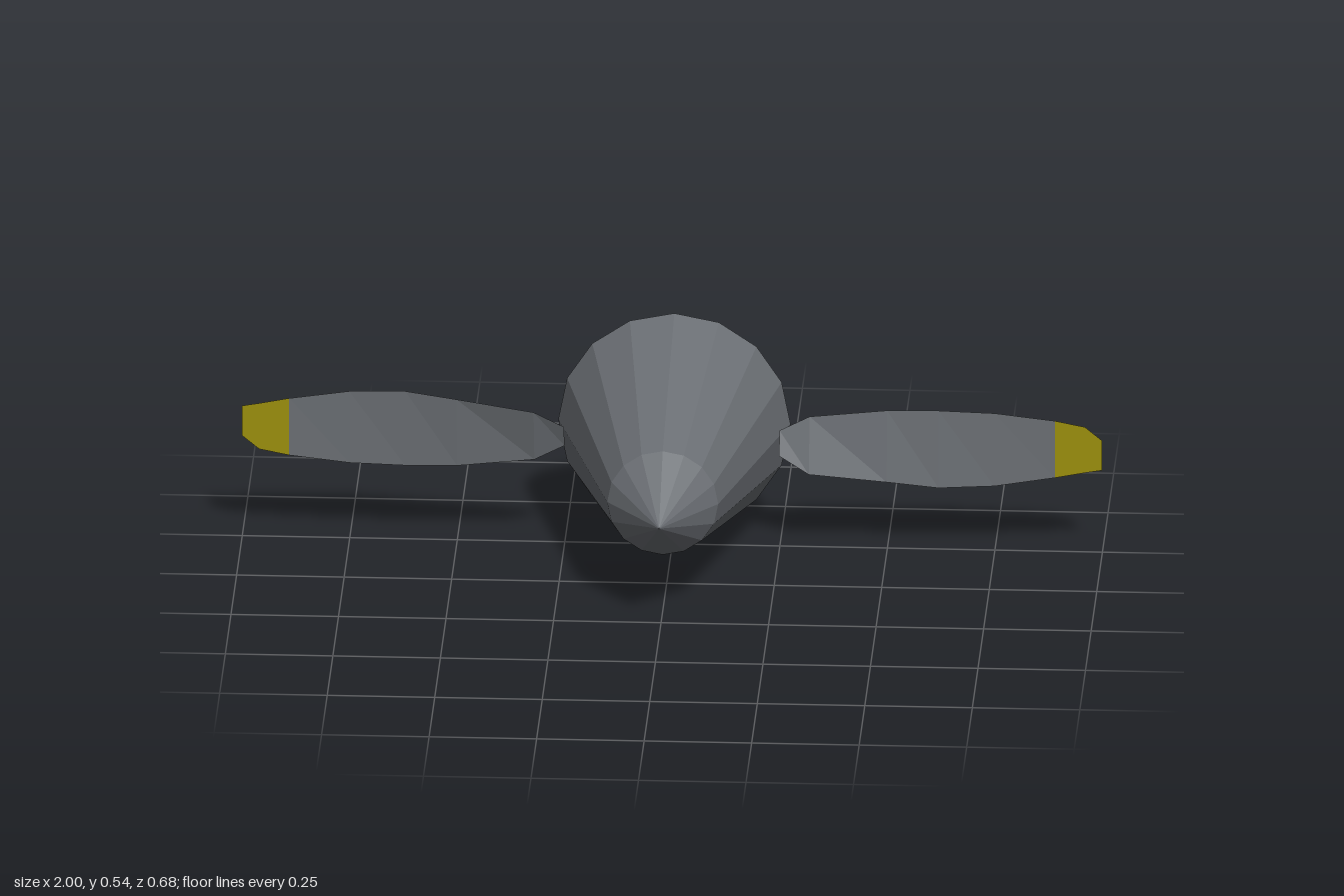
import * as THREE from 'three';

const AXIS_Y = 0.271;
const BACK_Z = -0.235;

const paint = (color) =>
  new THREE.MeshStandardMaterial({ color, flatShading: true, side: THREE.DoubleSide });

// Blade stations: x, upper edge y, lower edge y, lower edge z (pitch fades towards the tip)
const STATIONS = [
  [0.25, 0.295, 0.24, -0.213],
  [0.32, 0.331, 0.2, -0.2],
  [0.5, 0.35, 0.178, -0.217],
  [0.62, 0.352, 0.163, -0.225],
  [0.75, 0.348, 0.168, -0.231],
  [0.89, 0.332, 0.19, BACK_Z],
  [0.96, 0.318, 0.204, BACK_Z],
  [1.0, 0.285, 0.211, BACK_Z],
];
const TIP_START = 5;

// Thin twisted sheet joining the upper and lower edges of the stations
function bladeSheet(stations) {
  const positions = [];
  const index = [];
  stations.forEach(([x, top, bottom, z], i) => {
    positions.push(x, top - AXIS_Y, BACK_Z, x, bottom - AXIS_Y, z);
    if (i > 0) {
      const a = 2 * (i - 1);
      index.push(a, a + 1, a + 3, a, a + 3, a + 2);
    }
  });
  const geometry = new THREE.BufferGeometry();
  geometry.setAttribute('position', new THREE.Float32BufferAttribute(positions, 3));
  geometry.setIndex(index);
  geometry.computeVertexNormals();
  return geometry;
}

function addMesh(parent, name, geometry, material) {
  const mesh = new THREE.Mesh(geometry, material);
  mesh.name = name;
  parent.add(mesh);
}

export function createModel() {
  const model = new THREE.Group();
  model.name = 'propeller';
  const grey = paint(0x6b6f74);
  const yellow = paint(0x9c900c);

  // Spinner cone, open at the back
  const profile = [[0.27, -0.34], [0.129, 0.177], [0, 0.34]].map((p) => new THREE.Vector2(...p));
  const spinner = new THREE.LatheGeometry(profile, 16).rotateX(Math.PI / 2);
  const hub = new THREE.Group();
  hub.position.y = AXIS_Y;
  model.add(hub);
  addMesh(hub, 'spinner', spinner, grey);

  // Two blades, half a turn apart
  const bladeGeometry = bladeSheet(STATIONS.slice(0, TIP_START + 1));
  const tipGeometry = bladeSheet(STATIONS.slice(TIP_START));
  ['left', 'right'].forEach((side, i) => {
    const blade = new THREE.Group();
    blade.name = `${side}Blade`;
    blade.rotation.z = i * Math.PI;
    addMesh(blade, `${side}BladeBody`, bladeGeometry, grey);
    addMesh(blade, `${side}BladeTip`, tipGeometry, yellow);
    hub.add(blade);
  });

  return model;
}
